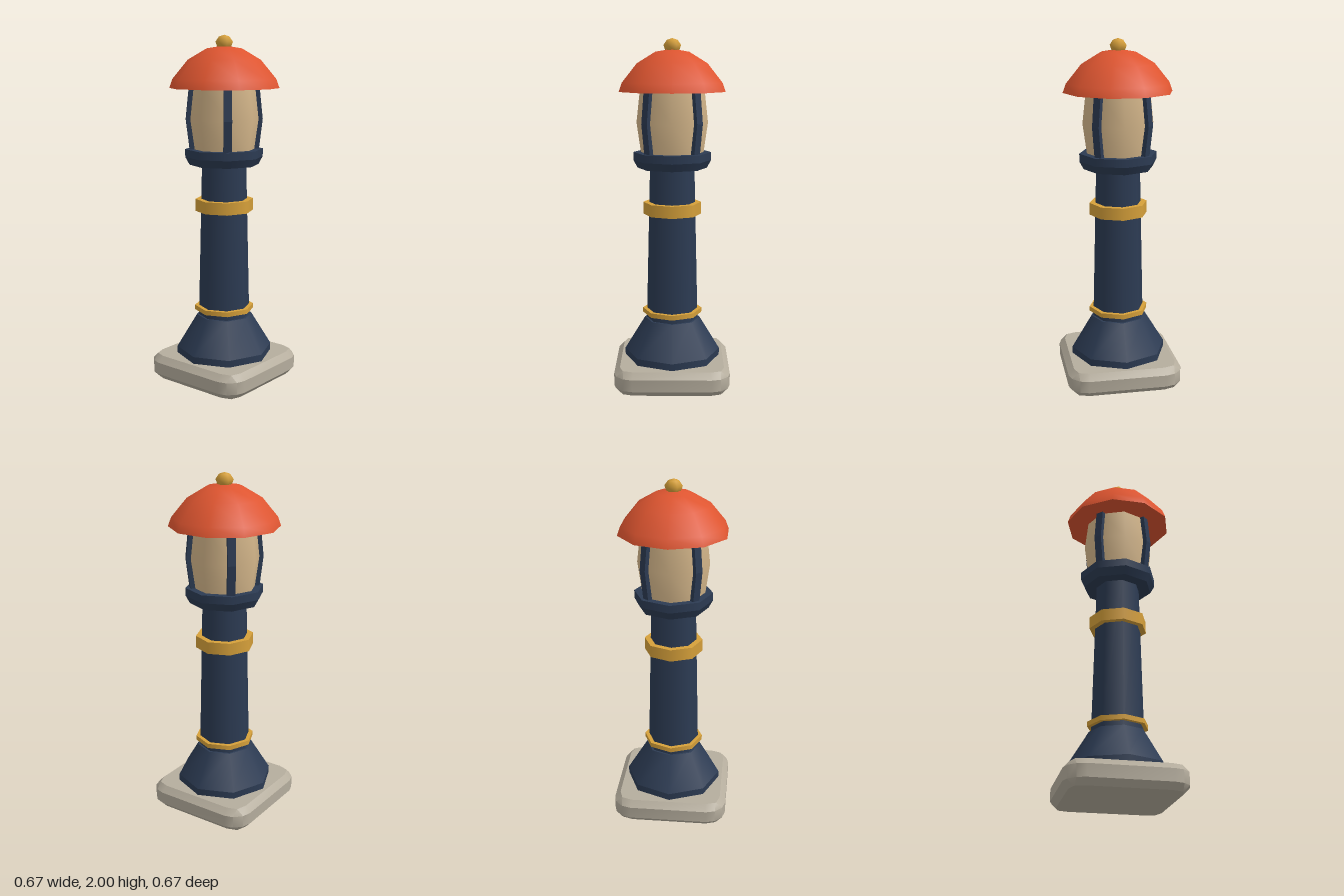
import * as THREE from 'three';
import { toCreasedNormals } from 'three/addons/utils/BufferGeometryUtils.js';

const material = (name, color) => new THREE.MeshStandardMaterial({ name, color });

// Square slab with clipped corners and chamfered edges, lofted from rings
function slabGeometry() {
  const inner = [[0.3, 0.22], [0.28, 0.28], [0.28, 0.28], [0.22, 0.3]];
  const outer = [[0.333, 0.226], [0.318, 0.277], [0.277, 0.318], [0.226, 0.333]];
  const centre = inner.map(() => [0, 0]);
  const levels = [[centre, 0], [inner, 0], [outer, 0.035], [outer, 0.105], [inner, 0.14], [centre, 0.14]];
  const positions = [], index = [], n = 16;
  for (const [corner, y] of levels) {
    for (let q = 0; q < 4; q++) {
      for (let [x, z] of corner) {
        for (let t = 0; t < q; t++) [x, z] = [-z, x];
        positions.push(x, y, z);
      }
    }
  }
  for (let l = 0; l < levels.length - 1; l++) {
    for (let i = 0; i < n; i++) {
      const a = l * n + i, b = l * n + (i + 1) % n;
      index.push(a, a + n, b, b, a + n, b + n);
    }
  }
  const geometry = new THREE.BufferGeometry();
  geometry.setAttribute('position', new THREE.Float32BufferAttribute(positions, 3));
  geometry.setIndex(index);
  return toCreasedNormals(geometry, 0.65);
}

export function createModel() {
  const group = new THREE.Group();
  group.name = 'lampPost';

  const stone = material('stone', 0xb5ad9d);
  const navy = material('navy', 0x2c3b53);
  const gold = material('gold', 0xd6a03a);
  const glass = material('warmGlass', 0xd4b68a);
  const red = material('red', 0xde5530);

  const add = (name, geometry, mat, parent = group) => {
    const mesh = new THREE.Mesh(geometry, mat);
    mesh.name = name;
    parent.add(mesh);
    return mesh;
  };
  // Eight-sided section between two heights
  const section = (name, mat, y0, y1, r0, r1 = r0) => {
    add(name, new THREE.CylinderGeometry(r1, r0, y1 - y0, 8), mat).position.y = (y0 + y1) / 2;
  };
  const lathe = (name, mat, sides, points) =>
    add(name, new THREE.LatheGeometry(points.map(([r, y]) => new THREE.Vector2(r, y)), sides), mat);

  // Base and column
  add('baseSlab', slabGeometry(), stone);
  section('footRim', navy, 0.14, 0.18, 0.28);
  section('footFlare', navy, 0.18, 0.375, 0.28, 0.162);
  section('column', navy, 0.375, 1.28, 0.15, 0.128);
  section('lowerBand', gold, 0.405, 0.432, 0.173);
  section('upperBand', gold, 1.0, 1.07, 0.168);

  // Cup holding the lantern
  section('cupUnderside', navy, 1.27, 1.315, 0.2, 0.224);
  section('cupRim', navy, 1.315, 1.36, 0.224);

  // Lantern glass with four bent corner bars
  lathe('lanternGlass', glass, 8, [[0.18, 1.36], [0.204, 1.53], [0.184, 1.71]]);
  const barShape = new THREE.Shape([
    [0.17, 1.35], [0.197, 1.35], [0.219, 1.53], [0.2, 1.71], [0.17, 1.71], [0.19, 1.53],
  ].map(([r, y]) => new THREE.Vector2(r, y)));
  const barGeometry = new THREE.ExtrudeGeometry(barShape, { depth: 0.045, bevelEnabled: false });
  barGeometry.translate(0, 0, -0.0225);
  for (let i = 0; i < 4; i++) {
    add('lanternBar', barGeometry, navy).rotation.y = Math.PI / 4 + i * Math.PI / 2;
  }

  // Ten-sided domed cap with a flat underside
  const cap = new THREE.Group();
  cap.name = 'cap';
  cap.rotation.y = Math.PI / 2;
  group.add(cap);
  cap.add(
    lathe('capDome', red, 10, [[0.313, 1.705], [0.295, 1.755], [0.207, 1.862], [0.1, 1.925], [0, 1.942]]),
    lathe('capUnderside', red, 10, [[0, 1.705], [0.313, 1.705]]),
  );

  // Six-sided finial
  lathe('finial', gold, 6, [[0, 1.915], [0.036, 1.925], [0.05, 1.962], [0.03, 1.991], [0, 2]]);

  return group;
}
